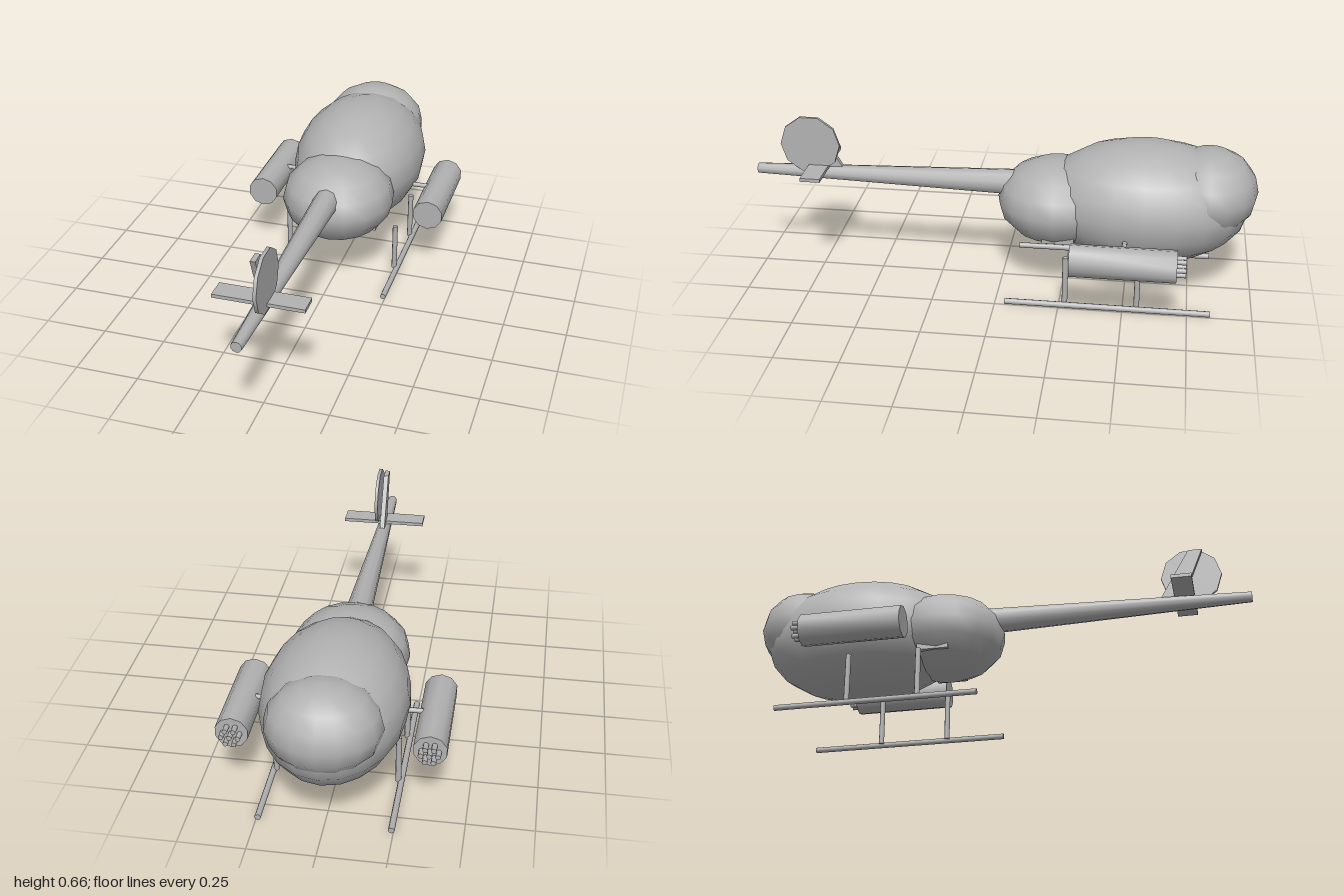
import * as THREE from 'three';
import { toCreasedNormals } from 'three/addons/utils/BufferGeometryUtils.js';

export function createModel() {
  const model = new THREE.Group();
  model.name = 'helicopter';
  const grey = new THREE.MeshStandardMaterial({ color: 0xb2b2b2 });
  grey.name = 'plain grey';

  const add = (name, geometry, x = 0, y = 0, z = 0, parent = model) => {
    const mesh = new THREE.Mesh(geometry, grey);
    mesh.name = name;
    mesh.position.set(x, y, z);
    parent.add(mesh);
    return mesh;
  };
  const ellipsoid = (rx, ry, rz, segments) =>
    new THREE.SphereGeometry(1, segments, segments / 2).scale(rx, ry, rz);
  // Rods lie along the given axis; the first radius is at its positive end
  const rod = (axis, r1, r2, length, sides) => {
    const g = new THREE.CylinderGeometry(r1, r2, length, sides);
    if (axis === 'z') g.rotateX(Math.PI / 2);
    if (axis === 'x') g.rotateZ(-Math.PI / 2);
    return g;
  };

  // Fuselage: nose towards -z
  add('cabin', ellipsoid(0.272, 0.243, 0.41, 20), 0, 0.373, -0.565);
  add('canopy', ellipsoid(0.212, 0.168, 0.19, 16), 0, 0.43, -0.81);
  add('engineHousing', ellipsoid(0.23, 0.169, 0.237, 16), 0, 0.357, -0.22);
  add('bellyPlate', new THREE.BoxGeometry(0.344, 0.03, 0.125), 0, 0.254, -0.237);

  // Tail boom and tail surfaces
  add('tailBoom', rod('z', 0.021, 0.052, 1.05, 10), 0, 0.418, 0.475);
  add('horizontalStabiliser', new THREE.BoxGeometry(0.344, 0.014, 0.08), 0, 0.452, 0.74);

  const finShape = new THREE.Shape([
    new THREE.Vector2(-0.645, 0.44), new THREE.Vector2(-0.735, 0.44),
    new THREE.Vector2(-0.82, 0.646), new THREE.Vector2(-0.765, 0.646),
  ]);
  const fin = new THREE.ExtrudeGeometry(finShape, { depth: 0.02, bevelEnabled: false });
  fin.translate(0, 0, -0.01).rotateY(Math.PI / 2);
  add('tailFin', fin);
  add('tailRotorDisc', rod('x', 0.12, 0.12, 0.013, 10), 0.028, 0.545, 0.77);

  // Weapon pods and landing skids on both sides
  for (const side of [1, -1]) {
    const label = side > 0 ? 'left' : 'right';
    const pod = new THREE.Group();
    pod.name = label + 'Pod';
    pod.position.set(side * 0.36, 0.273, -0.5);
    model.add(pod);
    add('podBody', toCreasedNormals(rod('z', 0.063, 0.063, 0.4, 10), 0.8), 0, 0, 0, pod);
    for (let i = 0; i < 7; i++) {
      const a = (i / 6) * Math.PI * 2;
      const r = i < 6 ? 0.031 : 0;
      add('barrel', rod('z', 0.01, 0.01, 0.06, 8), r * Math.cos(a), r * Math.sin(a), -0.205, pod);
    }
    add(label + 'Pylon', rod('x', 0.01, 0.01, 0.1, 8), side * 0.27, 0.302, -0.5);

    add(label + 'Skid', rod('z', 0.012, 0.012, 0.8, 8), side * 0.243, 0.012, -0.44);
    for (const z of [-0.275, -0.555]) {
      add(label + 'Strut', rod('y', 0.011, 0.011, 0.2, 8), side * 0.232, 0.115, z);
    }
  }
  return model;
}
